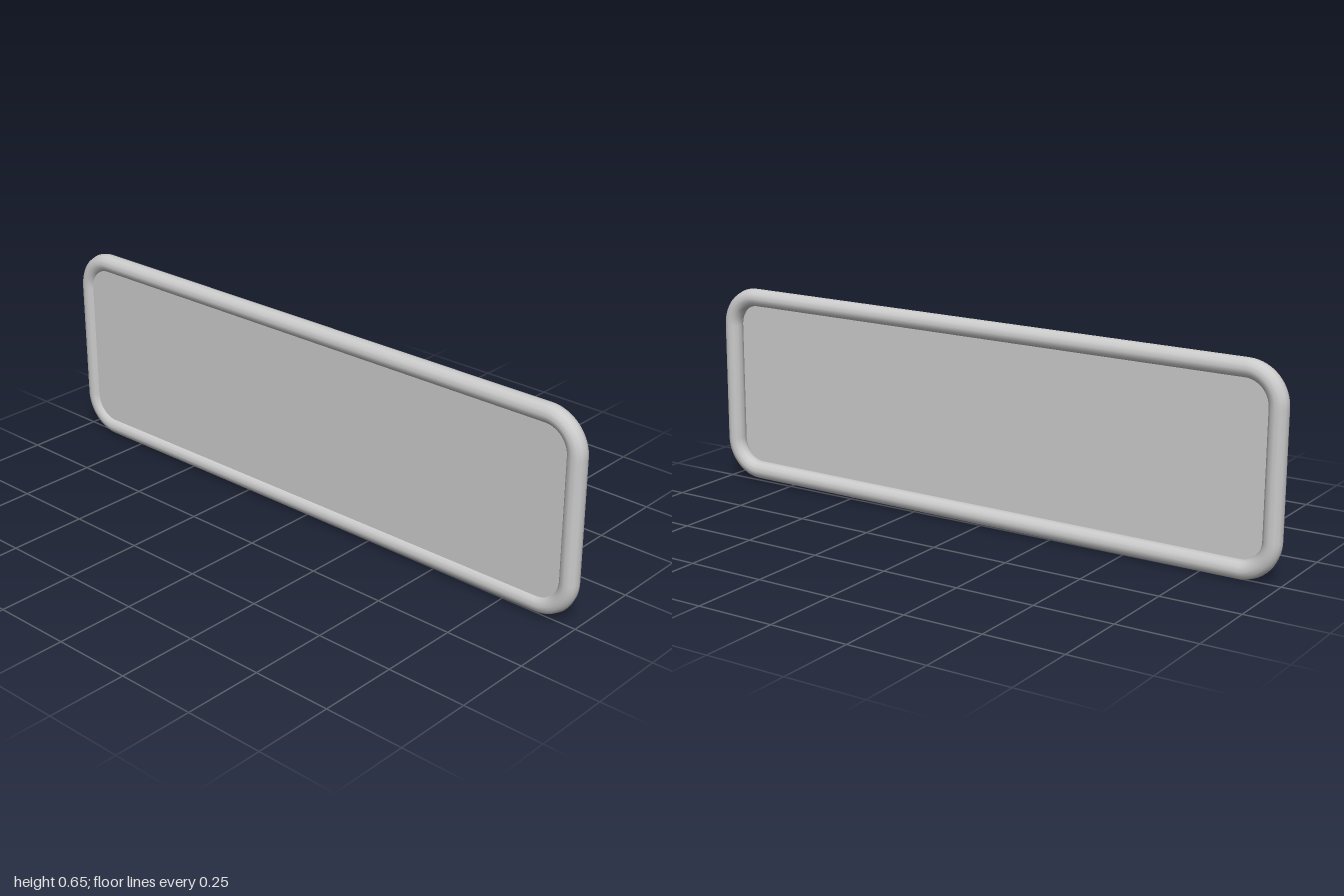
import * as THREE from 'three';

const TUBE_RADIUS = 0.029;
const HALF_WIDTH = 0.97;   // to the tube's centre line
const HALF_HEIGHT = 0.291;
const CORNER = 0.1;

// Rounded rectangle along the centre line of the rim
function outline() {
  const w = HALF_WIDTH - CORNER, h = HALF_HEIGHT - CORNER;
  const shape = new THREE.Shape();
  shape.moveTo(-w, -HALF_HEIGHT);
  [[w, -h, -1], [w, h, 0], [-w, h, 1], [-w, -h, 2]].forEach(([x, y, quarter]) => {
    const start = quarter * Math.PI / 2;
    shape.absarc(x, y, CORNER, start, start + Math.PI / 2, false);
  });
  return shape;
}

// The flat outline as a path for the tube
class RimCurve extends THREE.Curve {
  constructor(shape) {
    super();
    this.shape = shape;
    this.arcLengthDivisions = 800;
  }
  getPoint(t, target = new THREE.Vector3()) {
    const p = this.shape.getPoint(t);
    return target.set(p.x, p.y, 0);
  }
}

export function createModel() {
  const group = new THREE.Group();
  group.name = 'framedPanel';
  const shape = outline();

  // Round rim all the way around
  const rim = new THREE.Mesh(
    new THREE.TubeGeometry(new RimCurve(shape), 320, TUBE_RADIUS, 12, true),
    new THREE.MeshStandardMaterial({ color: 0xcccccc })
  );
  rim.name = 'rim';

  // Thin sheet set towards the front of the rim
  const panel = new THREE.Mesh(
    new THREE.ShapeGeometry(shape, 10),
    new THREE.MeshStandardMaterial({ color: 0xcccccc, side: THREE.DoubleSide })
  );
  panel.name = 'panel';
  panel.position.z = 0.015;

  group.add(rim, panel);

  // The whole piece hangs very slightly tilted
  group.rotation.z = 0.0055;
  group.position.y = 0.325;
  return group;
}
